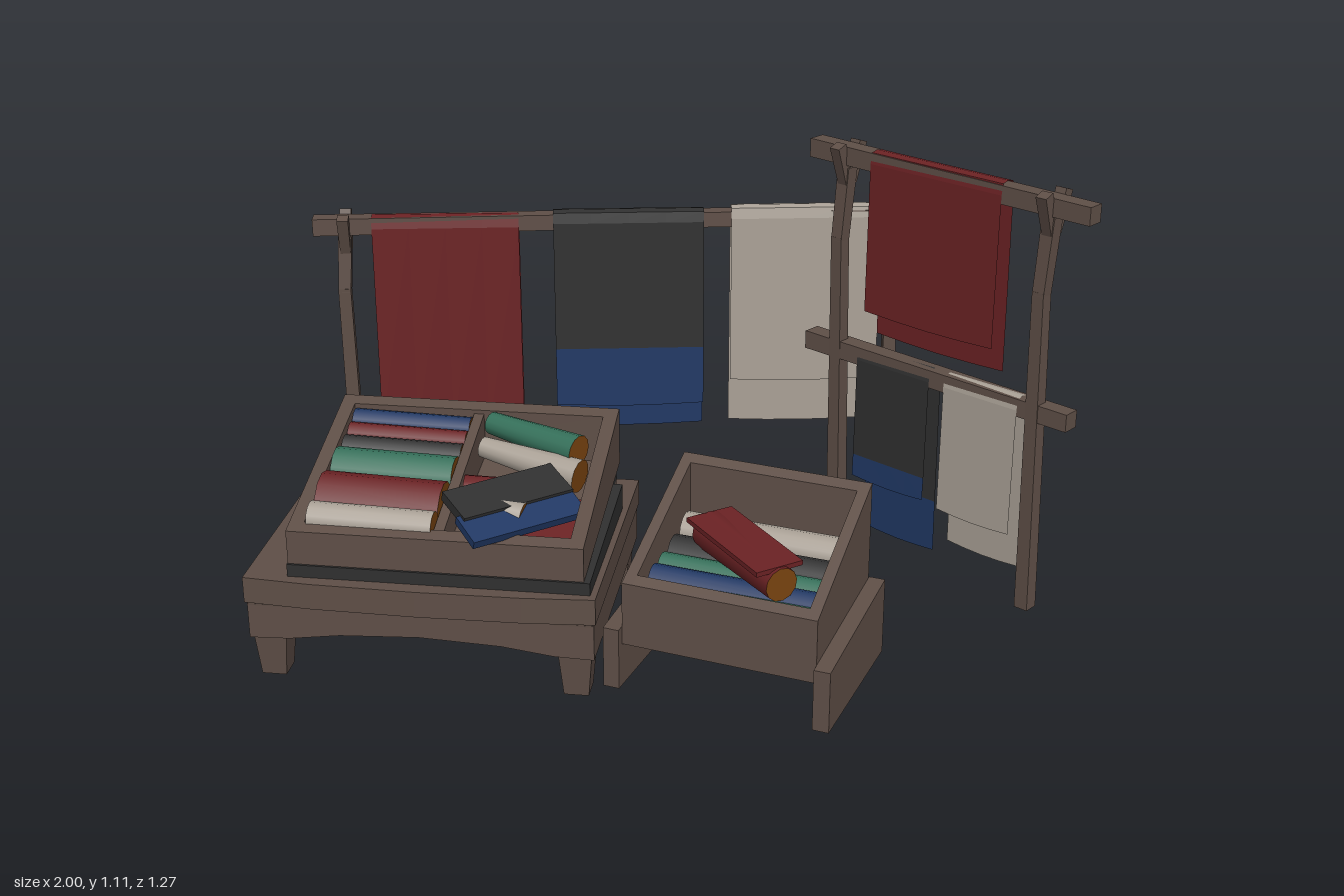
import * as THREE from 'three';

const mat = (name, color) => Object.assign(new THREE.MeshStandardMaterial({ color }), { name });

export function createModel() {
  const wood = mat('wood', 0x5f4f47), red = mat('red cloth', 0x6b2224), black = mat('black cloth', 0x303030);
  const blue = mat('blue cloth', 0x203864), green = mat('green cloth', 0x35705a);
  const white = mat('pale cloth', 0xaaa196), core = mat('roll end', 0x7a4410);
  for (const m of [red, black, blue, white]) m.side = THREE.DoubleSide;

  const root = new THREE.Group();
  root.name = 'clothStall';
  const group = (name, x = 0, z = 0, turn = 0) => {
    const g = new THREE.Group();
    g.name = name;
    g.position.set(x, 0, z);
    g.rotation.y = turn;
    root.add(g);
    return g;
  };
  const add = (parent, name, geo, material, smooth = false) => {
    const g = geo.index && !smooth ? geo.toNonIndexed() : geo;
    if (!smooth) g.computeVertexNormals();
    const m = new THREE.Mesh(g, material);
    m.name = name;
    parent.add(m);
    return m;
  };
  const vec = (p) => new THREE.Vector3(...p);
  const polygon = (pts) => new THREE.Shape(pts.map(([a, b]) => new THREE.Vector2(a, b)));
  // Side profile of (z, y) points, extruded from x0 to x1
  const sideProfile = (pts, x0, x1) => new THREE.ExtrudeGeometry(polygon(pts), { depth: x1 - x0, bevelEnabled: false })
    .rotateY(-Math.PI / 2).translate(x1, 0, 0);
  // Front profile of (x, y) points, extruded from z0 to z1
  const frontProfile = (pts, z0, z1) => new THREE.ExtrudeGeometry(polygon(pts), { depth: z1 - z0, bevelEnabled: false })
    .translate(0, 0, z0);
  // Smooth round or flat four-sided bar between two points
  const bar = (parent, name, a, b, r0, r1, material, sides = 4) => {
    const A = vec(a), B = vec(b), d = B.clone().sub(A);
    const geo = new THREE.CylinderGeometry(r1, r0, d.length(), sides);
    if (sides === 4) geo.rotateY(Math.PI / 4);
    const m = add(parent, name, geo, material, sides > 4);
    m.position.copy(A).add(B).multiplyScalar(0.5);
    m.quaternion.setFromUnitVectors(new THREE.Vector3(0, 1, 0), d.normalize());
    return m;
  };
  const roll = (parent, a, b, r, cloth, rEnd = r * 0.95) => bar(parent, 'clothRoll', a, b, r, rEnd, [cloth, core, core], 12);
  const sheet = (parent, size, at, turn, cloth) => {
    const m = add(parent, 'foldedCloth', new THREE.BoxGeometry(...size), cloth);
    m.position.set(...at);
    m.rotation.set(...turn, 'YXZ');
  };

  // Open box with a sloping floor and a higher back
  const wedgeBox = (parent, x0, x1, zB, zF, floor, top, t) => {
    const at = ([f, b], z) => f + (b - f) * (zF - z) / (zF - zB);
    const slab = (z0, z1, lo, hi) => [[z0, lo(z0)], [z1, lo(z1)], [z1, hi(z1)], [z0, hi(z0)]];
    const lo = (z) => at(floor, z), hi = (z) => at(top, z);
    add(parent, 'boxFloor', sideProfile(slab(zB + t, zF - t, lo, (z) => lo(z) + 0.02), x0 + t, x1 - t), wood);
    add(parent, 'boxBack', sideProfile(slab(zB, zB + t, lo, hi), x0 + t, x1 - t), wood);
    add(parent, 'boxFront', sideProfile(slab(zF - t, zF, lo, hi), x0 + t, x1 - t), wood);
    for (const x of [x0, x1 - t]) add(parent, 'boxSide', sideProfile(slab(zB, zF, lo, hi), x, x + t), wood);
    return { lo, hi, slab };
  };

  // Table with bowed top, arched solid underside and tapered feet
  const table = group('table');
  const top = polygon([[-0.945, 0.09], [-0.945, -0.57], [-0.78, -0.583], [-0.53, -0.588], [-0.28, -0.583], [-0.11, -0.57], [-0.11, 0.09]]);
  add(table, 'tableTop', new THREE.ExtrudeGeometry(top, { depth: 0.065, bevelEnabled: false })
    .rotateX(-Math.PI / 2).translate(0, 0.205, 0), wood);
  add(table, 'archedBody', frontProfile([[-0.94, 0.205], [-0.94, 0.11], [-0.845, 0.113], [-0.72, 0.13], [-0.53, 0.139],
    [-0.335, 0.13], [-0.21, 0.113], [-0.115, 0.11], [-0.115, 0.205]], -0.085, 0.565), wood);
  for (const x of [-0.893, -0.162]) for (const z of [-0.038, 0.518]) {
    bar(table, 'foot', [x, 0.005, z], [x, 0.2, z], 0.042, 0.067, wood);
  }

  // Tilted display box with divider, resting on dark padding
  const tray = group('displayBox');
  const { lo, hi, slab } = wedgeBox(tray, -0.84, -0.14, 0.025, 0.545, [0.3, 0.37], [0.385, 0.515], 0.035);
  add(tray, 'divider', sideProfile(slab(0.06, 0.51, lo, (z) => hi(z) - 0.01), -0.5, -0.475), wood);
  add(tray, 'padding', sideProfile([[0.08, 0.27], [0.55, 0.27], [0.55, 0.301], [0.08, 0.335]], -0.842, -0.125), black);
  add(tray, 'prop', sideProfile([[0.015, 0.32], [0.13, 0.315], [0.13, 0.345], [0.015, 0.368]], -0.82, -0.15), black);
  add(tray, 'backRail', sideProfile([[0.02, 0.27], [0.15, 0.27], [0.15, 0.318], [0.02, 0.322]], -0.82, -0.15), wood);

  // Rolls in the left compartment: z, radius, centre height, cloth
  for (const [z, r, y, cloth] of [[0.079, 0.03, 0.47, blue], [0.128, 0.029, 0.455, red], [0.18, 0.032, 0.44, black],
    [0.255, 0.056, 0.415, green], [0.375, 0.074, 0.385, red], [0.477, 0.039, 0.392, white]]) {
    roll(tray, [-0.8, y, z], [-0.502, y - 0.004, z + 0.006], r, cloth);
  }
  // Crossed rolls and folded cloth in the right compartment
  roll(tray, [-0.45, 0.485, 0.085], [-0.21, 0.475, 0.205], 0.028, green, 0.04);
  roll(tray, [-0.455, 0.455, 0.165], [-0.2, 0.43, 0.25], 0.026, white, 0.042);
  roll(tray, [-0.465, 0.40, 0.34], [-0.23, 0.385, 0.31], 0.055, red);
  roll(tray, [-0.45, 0.415, 0.42], [-0.3, 0.4, 0.44], 0.042, white);
  sheet(tray, [0.2, 0.012, 0.19], [-0.25, 0.372, 0.4], [0.2, 0, 0], red);
  sheet(tray, [0.29, 0.025, 0.11], [-0.345, 0.44, 0.395], [0.25, 0.72, 0], black);
  sheet(tray, [0.3, 0.02, 0.09], [-0.3, 0.413, 0.455], [0.35, 0.72, 0], blue);

  // Small crate held between two side planks
  const crate = group('crate', 0.215, 0.36, -0.256);
  wedgeBox(crate, -0.24, 0.24, -0.2, 0.185, [0.11, 0.14], [0.27, 0.445], 0.028);
  for (const x of [-0.28, 0.24]) {
    add(crate, 'sidePlank', sideProfile([[-0.205, 0], [0.205, 0], [0.205, 0.155], [-0.205, 0.195]], x, x + 0.04), wood);
  }
  for (const [z, r, y, cloth] of [[-0.125, 0.046, 0.275, white], [-0.045, 0.045, 0.25, black], [0.025, 0.036, 0.245, green],
    [0.08, 0.036, 0.24, blue], [0.125, 0.034, 0.225, green]]) {
    roll(crate, [-0.205, y, z], [0.205, y, z - 0.01], r, cloth);
  }
  // Large loose roll with its cloth spread on top
  roll(crate, [-0.12, 0.315, -0.07], [0.13, 0.308, 0.12], 0.05, red, 0.042);
  sheet(crate, [0.31, 0.012, 0.125], [0, 0.35, 0.022], [0, -0.65, -0.03], red);

  // Cloth hung over a beam: front and back hem heights, optional blue bands starting at given heights
  const drape = (parent, name, x0, x1, y, front, back, cloth, bands) => {
    const strip = (path, material) => {
      const n = 4, pos = [], idx = [];
      path.forEach(([z, py, hem], j) => {
        for (let i = 0; i <= n; i++) {
          const u = i / n, wave = Math.sin(u * Math.PI);
          pos.push(x0 + (x1 - x0) * u, py - (hem ? 0.006 * wave : 0), z);
          if (j && i) {
            const b = j * (n + 1) + i, a = b - n - 1;
            idx.push(a - 1, a, b, a - 1, b, b - 1);
          }
        }
      });
      const geo = new THREE.BufferGeometry();
      geo.setAttribute('position', new THREE.Float32BufferAttribute(pos, 3));
      geo.setIndex(idx);
      add(parent, name, geo, material);
    };
    const [f, b] = bands || [front, back];
    strip([[0.028, f, !bands], [0.025, y], [0.02, y + 0.028], [0, y + 0.032], [-0.02, y + 0.028], [-0.025, y], [-0.028, b, !bands]], cloth);
    if (bands) {
      strip([[0.028, f], [0.03, front, true]], blue);
      strip([[-0.028, b], [-0.03, back, true]], blue);
    }
  };
  // Bent post with a forked top cradling the beam
  const post = (parent, x, y) => {
    bar(parent, 'post', [x, 0.015, 0], [x - 0.008, y * 0.8, 0.012], 0.027, 0.023, wood);
    bar(parent, 'post', [x - 0.008, y * 0.8 - 0.01, 0.012], [x, y - 0.03, 0], 0.023, 0.025, wood);
    for (const s of [-1, 1]) bar(parent, 'fork', [x, y - 0.07, s * 0.008], [x, y + 0.03, s * 0.042], 0.019, 0.021, wood);
  };

  // Long back rack
  const rack = group('backRack', -0.19, -0.457, 0.183);
  bar(rack, 'beam', [-0.825, 0.848, 0], [0.1, 0.855, 0], 0.032, 0.028, wood);
  bar(rack, 'beam', [0.09, 0.855, 0], [0.825, 0.852, 0], 0.028, 0.033, wood);
  for (const x of [-0.743, 0.707]) post(rack, x, 0.85);
  drape(rack, 'redDrape', -0.672, -0.288, 0.843, 0.28, 0.205, red);
  drape(rack, 'blackDrape', -0.198, 0.198, 0.85, 0.34, 0.258, black, [0.5, 0.48]);
  drape(rack, 'paleDrape', 0.27, 0.666, 0.857, 0.405, 0.265, white);

  // Tall two-beam side rack
  const tall = group('sideRack', 0.643, -0.19, -0.619);
  for (const [y, a, b] of [[1.075, -0.42, 0.412], [0.553, -0.42, 0.39]]) {
    bar(tall, 'beam', [a, y + 0.003, 0], [b, y - 0.003, 0], 0.034, 0.032, wood);
  }
  for (const x of [-0.316, 0.297]) post(tall, x, 1.075);
  drape(tall, 'redDrape', -0.225, 0.168, 1.073, 0.685, 0.61, red);
  drape(tall, 'blackDrape', -0.245, -0.015, 0.545, 0.22, 0.055, black, [0.28, 0.195]);
  drape(tall, 'paleDrape', 0.03, 0.25, 0.545, 0.21, 0.1, white);

  return root;
}
